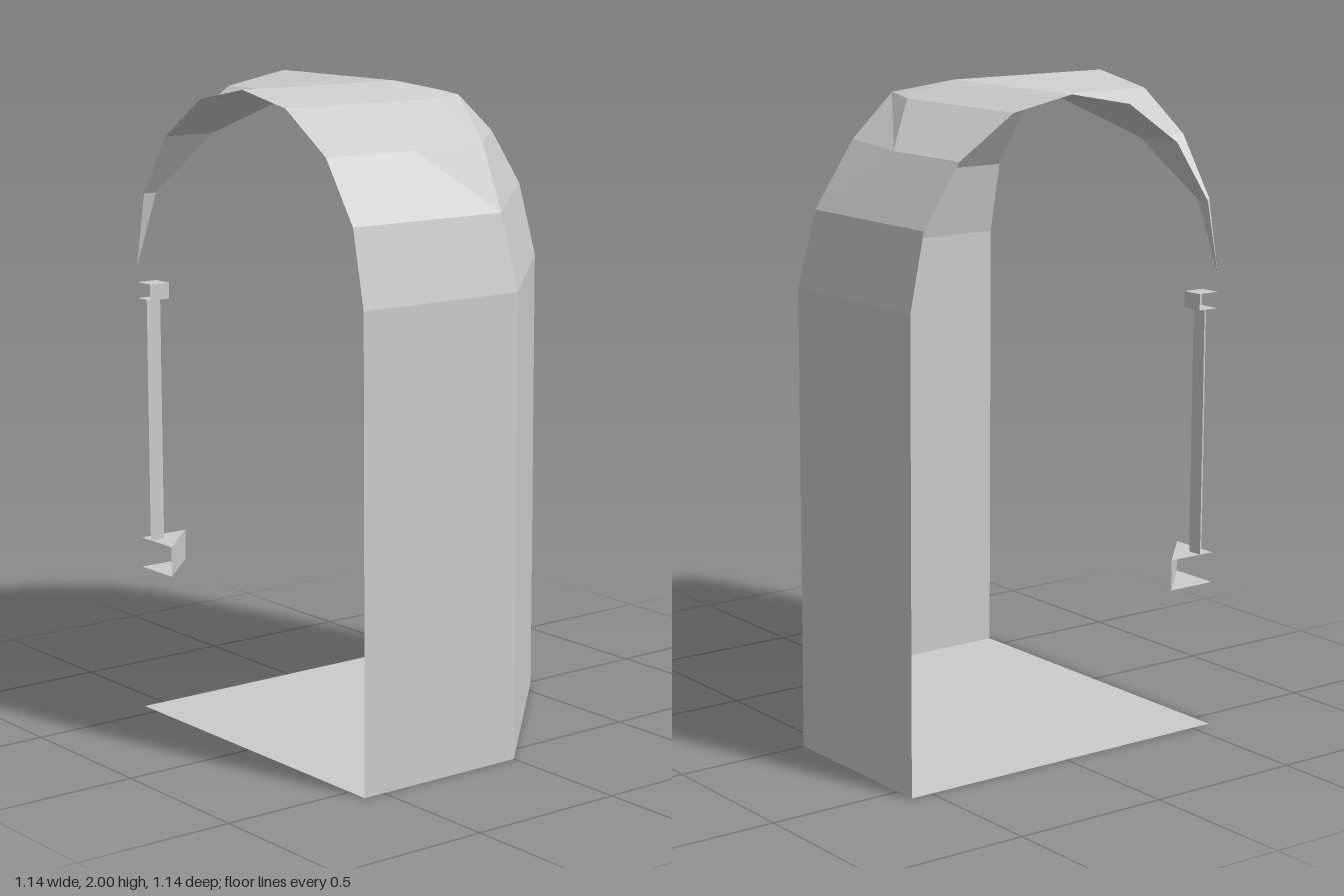
import * as THREE from 'three';

const R = 0.57;      // half width of the footprint
const SPRING = 1.42; // height where the vault starts

const material = new THREE.MeshStandardMaterial({ color: 0xcccccc, flatShading: true, side: THREE.DoubleSide });

// Thin shell from convex polygons, each a list of [x, y, z] corners
function shell(name, polygons) {
  const positions = [];
  for (const p of polygons) {
    for (let i = 1; i < p.length - 1; i++) positions.push(...p[0], ...p[i], ...p[i + 1]);
  }
  const geometry = new THREE.BufferGeometry();
  geometry.setAttribute('position', new THREE.Float32BufferAttribute(positions, 3));
  geometry.computeVertexNormals();
  const mesh = new THREE.Mesh(geometry, material);
  mesh.name = name;
  return mesh;
}

// Mirror across the diagonal plane x = z
const swap = ([x, y, z]) => [z, y, x];
const mirrored = (polygons) => polygons.concat(polygons.map((p) => p.map(swap).reverse()));

// Quarter of a pier section standing in the open corner; outline is in corner offsets
function pierPart(name, outline, y0, y1, capped) {
  const at = (y) => ([x, z]) => [x - R, y, z - R];
  const polygons = [];
  for (let i = 0; i < outline.length - 1; i++) {
    const [a, b] = [outline[i], outline[i + 1]];
    polygons.push([at(y0)(b), at(y0)(a), at(y1)(a), at(y1)(b)]);
  }
  if (capped) {
    const plate = [[0, 0], ...outline];
    polygons.push(plate.map(at(y0)), plate.map(at(y1)).reverse());
  }
  return shell(name, polygons);
}

export function createModel() {
  const group = new THREE.Group();

  // Five-sided floor
  group.add(shell('floor', [[[-R, 0, -R], [-R, 0, R], [0, 0, R], [R, 0, 0], [R, 0, -R]]]));

  // Two side walls and the diagonal wall between them
  group.add(shell('sideWalls', mirrored([[[R, 0, 0], [R, 0, -R], [R, SPRING, -R], [R, SPRING, 0]]])));
  group.add(shell('diagonalWall', [[[0, 0, R], [R, 0, 0], [R, SPRING, 0], [0, SPRING, R]]]));

  // Arch profile: x, height, and the z where each line of the barrel ends
  const arch = [
    [-R, SPRING, -R], [-0.525, 1.65, -0.525], [-0.4, 1.835, -0.4], [-0.215, 1.96, -0.215],
    [0, 2, 0], [0.21, 1.96, -0.05], [0.4, 1.835, -0.25], [0.523, 1.65, -0.025], [R, SPRING, 0],
  ];
  const barrel = [];
  for (let i = 0; i < arch.length - 1; i++) {
    const [a, b] = [arch[i], arch[i + 1]];
    barrel.push([[a[0], a[1], -R], a, b, [b[0], b[1], -R]]);
  }
  group.add(shell('crossedBarrelVaults', mirrored(barrel)));

  // Faceted vault above the diagonal wall
  const [crown, upper, middle, lower, spring] = arch.slice(4);
  const peak = [0.135, 1.96, 0.135];
  const inner = [0.325, 1.835, 0.07];
  const facets = mirrored([
    [crown, peak, upper],
    [peak, inner, middle, upper],
    [inner, lower, middle],
  ]);
  facets.push(
    [swap(inner), inner, peak],
    [swap(lower), lower, inner, swap(inner)],
    [swap(spring), spring, lower, swap(lower)],
  );
  group.add(shell('diagonalVault', facets));

  // Quarter pier in the open corner
  const square = (a) => [[a, 0], [a, a], [0, a]];
  const pier = new THREE.Group();
  pier.name = 'cornerPier';
  pier.add(
    pierPart('pierBase', [[0.165, 0], [0, 0.165]], 0.46, 0.555, true),
    pierPart('pierShaft', square(0.05), 0.555, 1.32, false),
    pierPart('pierCapital', square(0.07), 1.32, 1.37, true),
  );
  group.add(pier);

  return group;
}
